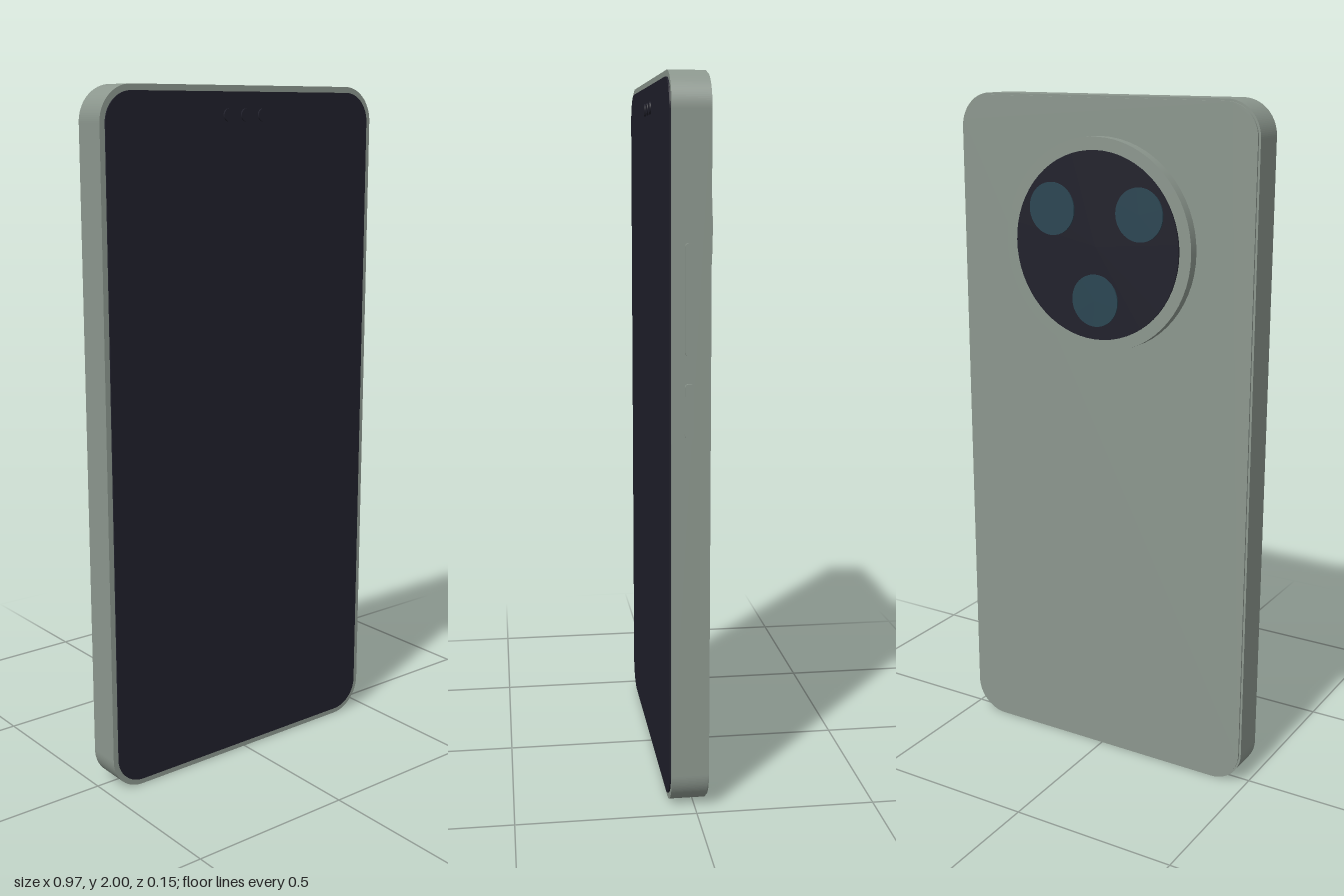
import * as THREE from 'three';

const material = (name, color) => {
  const m = new THREE.MeshStandardMaterial({ color });
  m.name = name;
  return m;
};

// Rounded rectangle centred on the origin
function roundedRect(w, h, r) {
  const x = w / 2, y = h / 2;
  const s = new THREE.Shape();
  s.moveTo(x, -y + r);
  s.lineTo(x, y - r);
  s.absarc(x - r, y - r, r, 0, Math.PI / 2);
  s.lineTo(-x + r, y);
  s.absarc(-x + r, y - r, r, Math.PI / 2, Math.PI);
  s.lineTo(-x, -y + r);
  s.absarc(-x + r, -y + r, r, Math.PI, Math.PI * 1.5);
  s.lineTo(x - r, -y);
  s.absarc(x - r, -y + r, r, Math.PI * 1.5, Math.PI * 2);
  return s;
}

export function createModel() {
  const sage = material('sage metal', 0x8c978e);
  const screenBlack = material('screen black', 0x20202b);
  const lensBlue = material('lens blue', 0x2a4552);

  const phone = new THREE.Group();
  phone.name = 'phone';
  const cx = -0.004;

  const add = (name, geometry, mat, x, y, z) => {
    const mesh = new THREE.Mesh(geometry, mat);
    mesh.name = name;
    mesh.position.set(x, y, z);
    phone.add(mesh);
    return mesh;
  };

  // Rounded slab between two depths
  const slab = (name, w, h, r, z0, z1, mat) => add(name,
    new THREE.ExtrudeGeometry(roundedRect(w, h, r), { depth: z1 - z0, bevelEnabled: false, curveSegments: 16 }),
    mat, cx, 1, z0);

  // Round plate facing along z between two depths
  const disc = (name, r, x, y, z0, z1, mat) => {
    const g = new THREE.CylinderGeometry(r, r, z1 - z0, 64).rotateX(Math.PI / 2);
    return add(name, g, mat, cx + x, y, (z0 + z1) / 2);
  };

  // Body, back panel and screen
  slab('frame', 0.964, 2, 0.1, -0.033, 0.067, sage);
  slab('backPanel', 0.952, 1.988, 0.094, -0.038, -0.033, sage);
  slab('screen', 0.932, 1.966, 0.084, 0.067, 0.071, screenBlack);

  // Front sensors
  for (const x of [-0.061, 0, 0.061]) disc('frontSensor', 0.018, x, 1.92, 0.071, 0.076, screenBlack);

  // Rear camera island with three lenses
  disc('cameraRing', 0.303, 0, 1.588, -0.069, -0.038, sage);
  disc('cameraGlass', 0.267, 0, 1.588, -0.073, -0.069, screenBlack);
  for (const [x, y] of [[-0.143, 1.686], [0.143, 1.686], [0, 1.434]]) {
    disc('lens', 0.075, x, y, -0.077, -0.073, lensBlue);
  }

  // Side buttons on the left edge
  for (const [name, y0, y1] of [['volumeButton', 1.27, 1.562], ['powerButton', 1.05, 1.197]]) {
    const g = new THREE.ExtrudeGeometry(roundedRect(0.025, y1 - y0, 0.01), { depth: 0.014, bevelEnabled: false, curveSegments: 8 });
    add(name, g.rotateY(Math.PI / 2), sage, 0.472, (y0 + y1) / 2, 0.02);
  }

  return phone;
}
